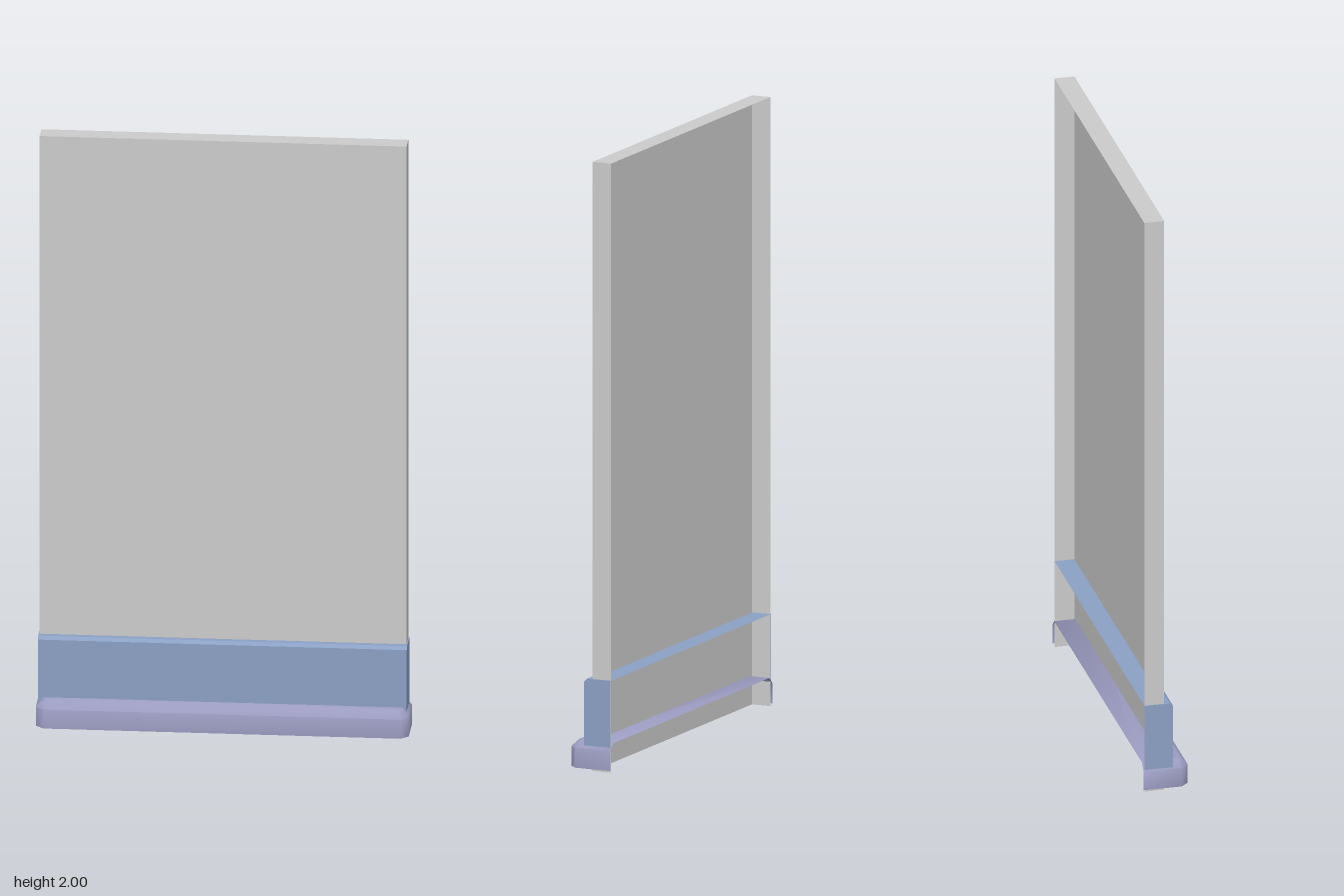
import * as THREE from 'three';
import { toCreasedNormals } from 'three/addons/utils/BufferGeometryUtils.js';

// U-shaped outline seen from above: left back -> front -> right back, front corners cut by c
function outline({ y, x0, x1, back, front, c = 0 }) {
  const pts = c
    ? [[x0, back], [x0, front - c], [x0 + c, front], [x1 - c, front], [x1, front - c], [x1, back]]
    : [[x0, back], [x0, front], [x1, front], [x1, back]];
  return pts.map(([x, z]) => [x, y, z]);
}

// Shell open at the back and bottom: walls between stacked outlines, closed by a top
function shell(name, color, levels, crease) {
  const rings = levels.map(outline);
  const pos = [];
  const tri = (a, b, c) => pos.push(...a, ...b, ...c);
  for (let r = 0; r < rings.length - 1; r++) {
    const lo = rings[r], hi = rings[r + 1];
    for (let i = 0; i < lo.length - 1; i++) {
      tri(lo[i], lo[i + 1], hi[i + 1]);
      tri(lo[i], hi[i + 1], hi[i]);
    }
  }
  const top = rings[rings.length - 1];
  for (let i = 1; i < top.length - 1; i++) tri(top[0], top[i], top[i + 1]);

  const geometry = new THREE.BufferGeometry();
  geometry.setAttribute('position', new THREE.Float32BufferAttribute(pos, 3));
  const mesh = new THREE.Mesh(
    toCreasedNormals(geometry, crease),
    new THREE.MeshStandardMaterial({ color, side: THREE.DoubleSide })
  );
  mesh.name = name;
  return mesh;
}

export function createModel() {
  const group = new THREE.Group();
  group.name = 'wallPanel';

  // Tall plain panel
  const wall = { x0: -0.595, x1: 0.59, back: -0.072, front: -0.006 };
  group.add(shell('wallBoard', 0xcccccc, [{ ...wall, y: 0 }, { ...wall, y: 2 }], 0.1));

  // Skirting board with a small bevel along its top front edge
  const skirt = { x0: -0.598, x1: 0.593, back: -0.072, front: 0.023 };
  group.add(shell('skirtingBoard', 0x8ba0c3, [
    { ...skirt, y: 0.075 },
    { ...skirt, y: 0.292 },
    { ...skirt, y: 0.302, front: 0.013 },
  ], 0.1));

  // Low plinth with bevelled front corners and top edge
  const plinth = { x0: -0.602, x1: 0.602, back: -0.076, front: 0.076, c: 0.025 };
  const inset = 0.023;
  group.add(shell('plinth', 0x9c9cc2, [
    { ...plinth, y: 0.008 },
    { ...plinth, y: 0.073 },
    { ...plinth, y: 0.096, x0: plinth.x0 + inset, x1: plinth.x1 - inset, front: plinth.front - inset, c: 0.012 },
  ], 1.0));

  return group;
}
